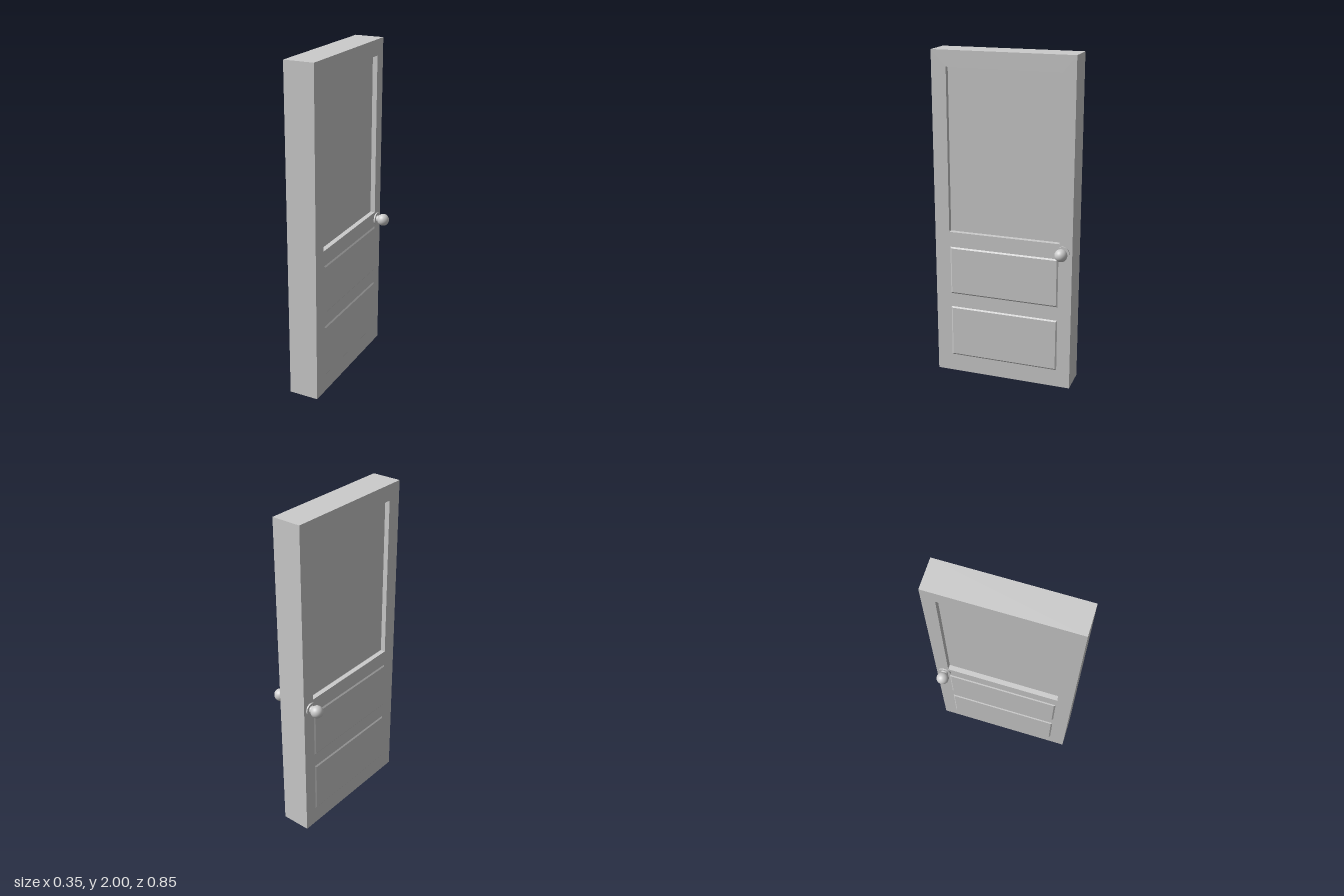
import * as THREE from 'three';

const grey = new THREE.MeshStandardMaterial({ color: 0xcccccc });
const X0 = -0.094, X1 = 0.087; // the two faces of the slab

function add(parent, name, geometry) {
  const mesh = new THREE.Mesh(geometry, grey);
  mesh.name = name;
  parent.add(mesh);
  return mesh;
}

function rectangle(Path, z0, z1, y0, y1) {
  const p = new Path();
  p.moveTo(-z1, y0).lineTo(-z0, y0).lineTo(-z0, y1).lineTo(-z1, y1).closePath();
  return p;
}

// Shallow raised panel: a box whose outer (+z) face is inset to form a bevel
function raisedPanel(width, height, depth, bevel) {
  const g = new THREE.BoxGeometry(width, height, depth).toNonIndexed();
  const p = g.attributes.position;
  for (let i = 0; i < p.count; i++) {
    if (p.getZ(i) < 0) continue;
    p.setX(i, p.getX(i) - Math.sign(p.getX(i)) * bevel);
    p.setY(i, p.getY(i) - Math.sign(p.getY(i)) * bevel);
  }
  g.translate(0, 0, depth / 2);
  g.computeVertexNormals();
  return g;
}

export function createModel() {
  const model = new THREE.Group();
  model.name = 'door';

  // Slab with the window opening, extruded through its thickness
  const outline = rectangle(THREE.Shape, -0.428, 0.425, 0, 2);
  outline.holes.push(rectangle(THREE.Path, -0.35, 0.335, 0.92, 1.905));
  const slab = new THREE.ExtrudeGeometry(outline, { depth: X1 - X0, bevelEnabled: false });
  slab.rotateY(Math.PI / 2).translate(X0, 0, 0);
  add(model, 'doorSlab', slab);

  // Pane set back from both faces
  const pane = add(model, 'windowPane', new THREE.BoxGeometry(X1 - X0 - 0.06, 0.985, 0.685));
  pane.position.set((X0 + X1) / 2, 1.4125, -0.0075);

  for (const side of [1, -1]) {
    const face = new THREE.Group();
    face.name = side > 0 ? 'leftFace' : 'rightFace';
    face.position.x = side > 0 ? X1 : X0;
    face.rotation.y = side * Math.PI / 2; // local +z points outwards
    model.add(face);

    // Two raised lower panels
    for (const [name, y0, y1] of [['lowerPanel', 0.11, 0.437], ['middlePanel', 0.524, 0.826]]) {
      const panel = add(face, name, raisedPanel(0.676, y1 - y0, 0.006, 0.009));
      panel.position.set(side * 0.008, (y0 + y1) / 2, 0);
    }

    // Knob with its rosette and neck
    const knob = new THREE.Group();
    knob.name = 'doorKnob';
    knob.position.set(side * 0.373, 0.87, 0);
    face.add(knob);
    const rosette = new THREE.CylinderGeometry(0.038, 0.038, 0.008, 32);
    add(knob, 'rosette', rosette.rotateX(Math.PI / 2).translate(0, 0, 0.004));
    const neck = new THREE.CylinderGeometry(0.022, 0.022, 0.04, 32);
    add(knob, 'neck', neck.rotateX(Math.PI / 2).translate(0, 0, 0.02));
    add(knob, 'ball', new THREE.SphereGeometry(0.0375, 32, 24).translate(0, 0, 0.048));
  }
  return model;
}
